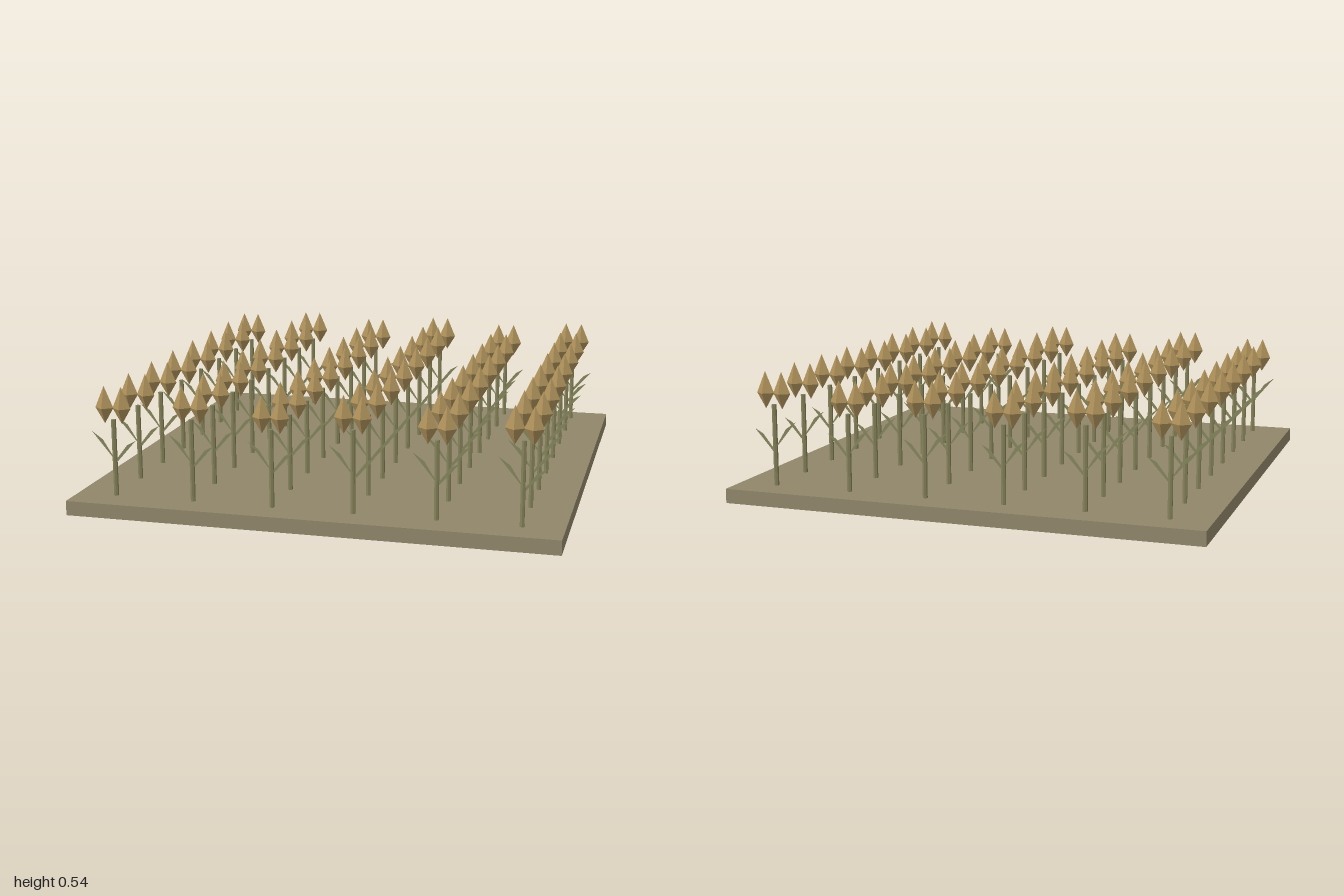
import * as THREE from 'three';

const COLUMNS = 6, ROWS = 8, SOIL_TOP = 0.06;

function makeMaterial(name, color, side = THREE.FrontSide) {
  const m = new THREE.MeshStandardMaterial({ color, side });
  m.name = name;
  return m;
}

// Four-sided bud: tall point above its widest ring, short point below
function makeBud() {
  const geo = new THREE.OctahedronGeometry(1, 0);
  const p = geo.attributes.position;
  for (let i = 0; i < p.count; i++) {
    const y = p.getY(i);
    p.setXYZ(i, p.getX(i) * 0.039, y * (y > 0 ? 0.09 : 0.065), p.getZ(i) * 0.031);
  }
  geo.computeVertexNormals();
  return geo;
}

// Flat pointed leaf blade
function makeLeaf(points) {
  return new THREE.ShapeGeometry(new THREE.Shape(points.map(([x, y]) => new THREE.Vector2(x, y))));
}

export function createModel() {
  const model = new THREE.Group();
  model.name = 'cropField';

  const soil = makeMaterial('soil', 0x91866a);
  const stalk = makeMaterial('stalk green', 0x85835a);
  const leafMat = makeMaterial('leaf green', 0x83855c, THREE.DoubleSide);
  const grain = makeMaterial('golden grain', 0xb0935c);

  const add = (parent, name, geo, mat, x, y, z) => {
    const mesh = new THREE.Mesh(geo, mat);
    mesh.name = name;
    mesh.position.set(x, y, z);
    parent.add(mesh);
    return mesh;
  };

  // Ground slab
  add(model, 'soilSlab', new THREE.BoxGeometry(2, SOIL_TOP, 2), soil, 0, SOIL_TOP / 2, 0);

  const budGeo = makeBud();
  const leftLeaf = makeLeaf([[0.092, 0.295], [0.055, 0.275], [0.0, 0.205], [0.008, 0.2]]);
  const rightLeaf = makeLeaf([[-0.098, 0.327], [-0.05, 0.293], [0.0, 0.213], [-0.008, 0.218]]);

  // Alternate columns stand slightly taller
  const stemGeos = [0.32, 0.34].map((h) =>
    new THREE.CylinderGeometry(0.01, 0.01, h, 6).toNonIndexed());
  stemGeos.forEach((g) => g.computeVertexNormals());

  for (let c = 0; c < COLUMNS; c++) {
    const tall = c % 2;
    const height = 0.32 + tall * 0.02;
    for (let r = 0; r < ROWS; r++) {
      const plant = new THREE.Group();
      plant.name = 'plant';
      plant.position.set(-1 + (c + 0.5) * 2 / COLUMNS, 0, -1 + (r + 0.5) * 2 / ROWS);
      add(plant, 'stem', stemGeos[tall], stalk, 0, SOIL_TOP + height / 2, 0);
      add(plant, 'leftLeaf', leftLeaf, leafMat, 0, 0, 0);
      add(plant, 'rightLeaf', rightLeaf, leafMat, 0, tall * 0.006, 0);
      for (const side of [-1, 1]) {
        add(plant, side > 0 ? 'leftBud' : 'rightBud', budGeo, grain,
          side * 0.037, SOIL_TOP + height + 0.047, 0);
      }
      model.add(plant);
    }
  }
  return model;
}
